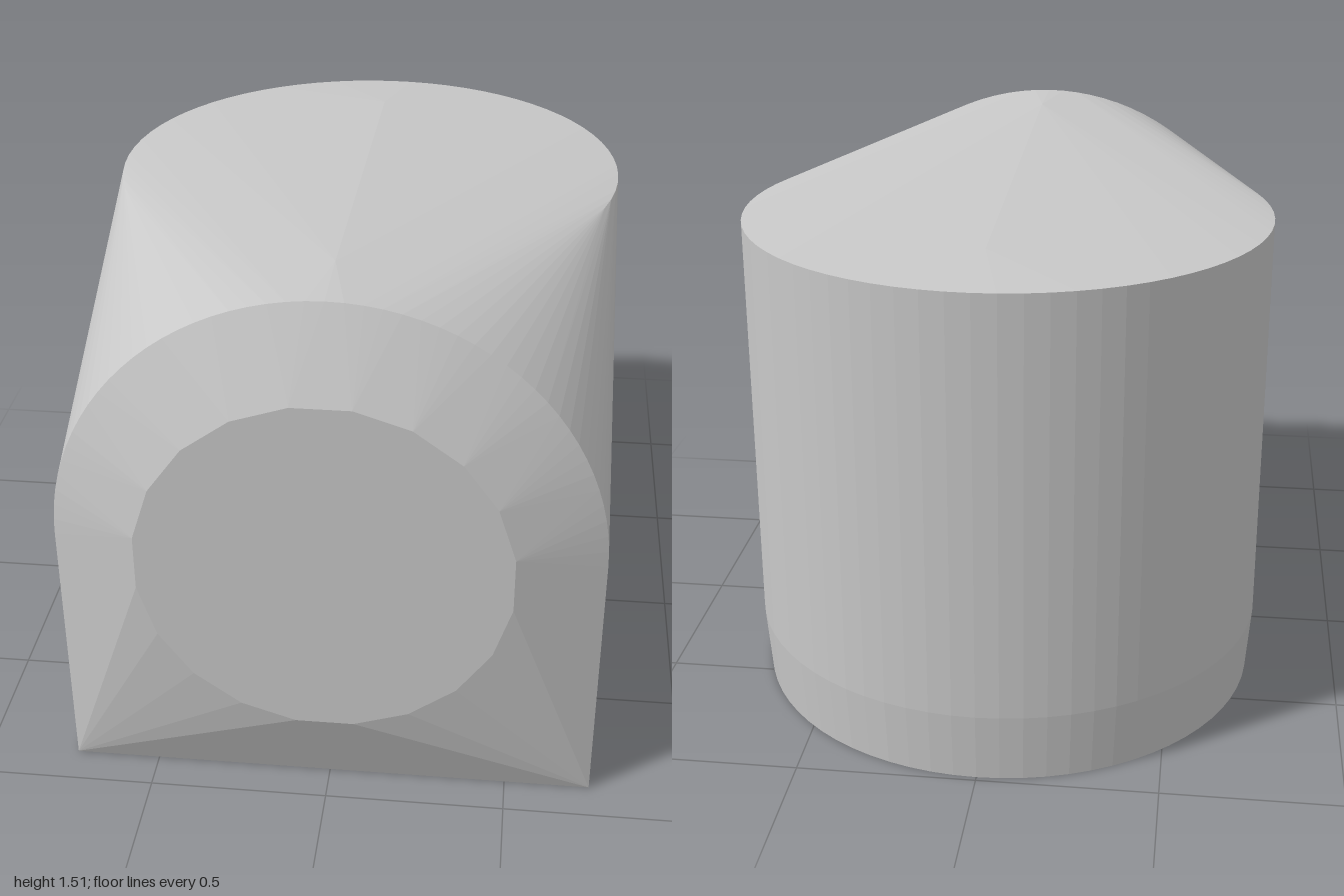
import * as THREE from 'three';
import { ConvexGeometry } from 'three/addons/geometries/ConvexGeometry.js';

const BACK_Z = -0.25; // axis of the rounded back
const ARCH_Y = 0.77; // centre height of the front arch

// Points along an arc; place(cos, sin) turns each angle into a position
function arc(steps, start, sweep, place) {
  return Array.from({ length: steps + 1 }, (_, i) => {
    const a = start + (sweep * i) / steps;
    return place(Math.cos(a), Math.sin(a));
  });
}

const horizontalRing = (radius, y) =>
  arc(71, 0, (Math.PI * 2 * 71) / 72, (c, s) => new THREE.Vector3(radius * c, y, BACK_Z + radius * s));

export function createModel() {
  const grey = new THREE.MeshStandardMaterial({ color: 0xc8c8c8 });
  grey.name = 'light grey';

  const points = [
    // rounded back: slightly tapered foot, wall and top rim
    ...horizontalRing(0.735, 0),
    ...horizontalRing(0.75, 0.2),
    ...horizontalRing(0.75, 1.403),

    // front arch with its two bottom corners
    ...arc(48, 0, Math.PI, (c, s) => new THREE.Vector3(0.74 * c, ARCH_Y + 0.74 * s, 0.89)),
    new THREE.Vector3(-0.74, 0, 0.89),
    new THREE.Vector3(0.74, 0, 0.89),

    // raised front disc
    ...arc(19, Math.PI / 20, (Math.PI * 2 * 19) / 20,
      (c, s) => new THREE.Vector3(0.505 * c, ARCH_Y + 0.505 * s, 1)),

    // slight crown along the sloping top
    new THREE.Vector3(0, 1.51, 0.66),
    new THREE.Vector3(0, 1.43, -0.72),
  ];

  const body = new THREE.Mesh(new ConvexGeometry(points), grey);
  body.name = 'body';

  const group = new THREE.Group();
  group.name = 'archedBlock';
  group.add(body);
  return group;
}
